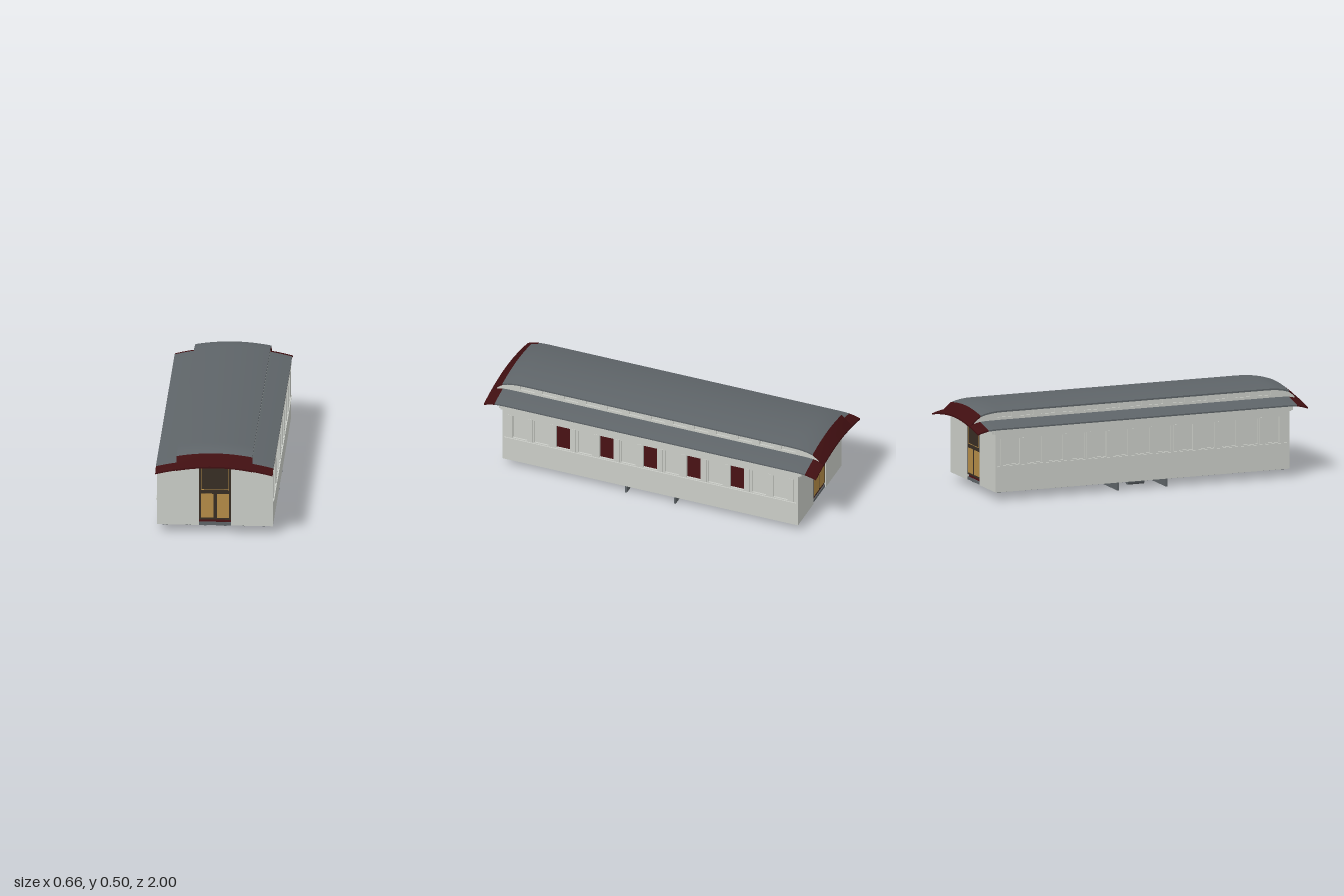
import * as THREE from 'three';
import { toCreasedNormals } from 'three/addons/utils/BufferGeometryUtils.js';

const mat = (name, color) => {
  const m = new THREE.MeshStandardMaterial({ color });
  m.name = name;
  return m;
};

export function createModel() {
  const body = mat('bodyGrey', 0xcbcec8);
  const slate = mat('slateGrey', 0x5e6468);
  const red = mat('darkRed', 0x400f11);
  const brown = mat('darkBrown', 0x382e24);
  const gold = mat('goldWood', 0xb58c47);

  const car = new THREE.Group();
  car.name = 'railwayCoach';

  const add = (name, geo, material, parent = car) => {
    const mesh = new THREE.Mesh(geo, material);
    mesh.name = name;
    parent.add(mesh);
    return mesh;
  };
  const box = (name, w, h, d, x, y, z, material, parent = car) => {
    const mesh = add(name, new THREE.BoxGeometry(w, h, d), material, parent);
    mesh.position.set(x, y, z);
    return mesh;
  };
  const poly = pts => pts.map(p => new THREE.Vector2(...p));
  const rectPath = (cx, w, y0, y1) => new THREE.Path(poly([
    [cx - w / 2, y0], [cx - w / 2, y1], [cx + w / 2, y1], [cx + w / 2, y0]]));
  const extrude = (shape, depth) =>
    new THREE.ExtrudeGeometry(shape, { depth, bevelEnabled: false });

  // Piecewise interpolation of the roof's drop towards its ends
  const dropAt = (table, z) => {
    const a = Math.abs(z);
    for (let i = 1; i < table.length; i++) {
      const [z0, d0] = table[i - 1], [z1, d1] = table[i];
      if (a <= z1) return d0 + (d1 - d0) * Math.max(0, (a - z0) / (z1 - z0));
    }
    return table.at(-1)[1];
  };
  const upperDrop = [[0.8, 0], [0.84, 0.001], [0.87, 0.004], [0.905, 0.010],
    [0.935, 0.019], [0.955, 0.034], [0.975, 0.052], [1, 0.075]];
  const lowerDrop = [[0.88, 0], [0.91, 0.001], [0.935, 0.003], [0.955, 0.007], [0.975, 0.012], [1, 0.02]];
  const upperY = (x, z) => 0.505 - 0.445 * x * x - dropAt(upperDrop, z);
  const lowerY = (x, z) => 0.449 - 0.394 * x * x - dropAt(lowerDrop, z);

  // Curved slab lofted through z stations
  const roofSlab = (half, thick, yAt, stations) => {
    const n = 17, pos = [], idx = [];
    const xs = Array.from({ length: n }, (_, i) => -half + 2 * half * i / (n - 1));
    for (const z of stations) {
      xs.forEach(x => pos.push(x, yAt(x, z), z));
      [...xs].reverse().forEach(x => pos.push(x, yAt(x, z) - thick, z));
    }
    const r = 2 * n, last = (stations.length - 1) * r;
    for (let i = 0; i < stations.length - 1; i++) {
      for (let j = 0; j < r; j++) {
        const a = i * r + j, b = i * r + (j + 1) % r, c = a + r, d = b + r;
        idx.push(a, c, b, b, c, d);
      }
    }
    for (let k = 0; k < n - 1; k++) {
      const t = k, u = k + 1, bt = r - 1 - k, bu = r - 2 - k;
      idx.push(t, u, bt, u, bu, bt);
      idx.push(last + t, last + bt, last + u, last + u, last + bt, last + bu);
    }
    const g = new THREE.BufferGeometry();
    g.setAttribute('position', new THREE.Float32BufferAttribute(pos, 3));
    g.setIndex(idx);
    return toCreasedNormals(g, 0.6);
  };

  const mid = [-0.935, -0.905, -0.87, -0.84, -0.8, 0, 0.8, 0.84, 0.87, 0.905, 0.935];
  const hood = [0.935, 0.955, 0.975, 1];
  for (const [name, half, thick, fn] of [['upperRoof', 0.212, 0.009, upperY], ['lowerRoof', 0.328, 0.008, lowerY]]) {
    add(name, roofSlab(half, thick, fn, mid), slate);
    add(name + 'FrontHood', roofSlab(half, thick, fn, hood), red);
    add(name + 'BackHood', roofSlab(half, thick, fn, hood.map(z => -z).reverse()), red);
  }

  const windowZ = Array.from({ length: 13 }, (_, i) => (6 - i) * 0.131);

  for (const s of [1, -1]) {
    const side = new THREE.Group();
    side.name = s > 0 ? 'leftSide' : 'rightSide';
    car.add(side);

    // Main side wall with window openings
    const wall = new THREE.Shape(poly([[-0.89, 0.045], [0.89, 0.045], [0.89, 0.4], [-0.89, 0.4]]));
    windowZ.forEach(z => wall.holes.push(rectPath(z, 0.085, 0.2, 0.345)));
    const wallMesh = add('sideWall', extrude(wall, 0.012).rotateY(Math.PI / 2), body, side);
    wallMesh.position.x = s > 0 ? 0.311 : -0.323;

    // Blinds close every window but five on the left side
    windowZ.forEach((z, i) => {
      const open = s > 0 && i >= 2 && i <= 10 && i % 2 === 0;
      if (!open) box('windowBlind', 0.004, 0.149, 0.089, s * 0.312, 0.2725, z, body, side);
    });
    for (let i = 0; i < 14; i++)
      box('windowPost', 0.004, 0.15, 0.022, s * 0.3235, 0.2725, (6.5 - i) * 0.131, body, side);
    box('beltRail', 0.009, 0.007, 1.76, s * 0.325, 0.191, 0, body, side);
    box('cornice', 0.006, 0.026, 1.8, s * 0.324, 0.387, 0, body, side);

    // Clerestory wall following the roof's falling ends
    const ends = [0.97, 0.955, 0.935, 0.905, 0.87, 0.8];
    const top = z => upperY(0.205, z) - 0.006;
    const upper = new THREE.Shape(poly([[-0.97, 0.418], [0.97, 0.418],
      ...ends.map(z => [z, top(z)]), ...[...ends].reverse().map(z => [-z, top(z)])]));
    windowZ.forEach(z => upper.holes.push(rectPath(z, 0.085, 0.447, 0.473)));
    const upperMesh = add('clerestoryWall', extrude(upper, 0.01).rotateY(Math.PI / 2), body, side);
    upperMesh.position.x = s > 0 ? 0.196 : -0.206;
    box('clerestoryPanes', 0.003, 0.034, 1.7, s * 0.197, 0.459, 0, body, side);
  }

  // End walls and double doors
  const arc = (off, n = 16) => Array.from({ length: n + 1 }, (_, i) => {
    const x = 0.322 - 0.644 * i / n;
    return [x, lowerY(x, 0) - off];
  });
  for (const s of [1, -1]) {
    const end = new THREE.Group();
    end.name = s > 0 ? 'frontEnd' : 'backEnd';
    end.rotation.y = s > 0 ? 0 : Math.PI;
    car.add(end);

    const wall = new THREE.Shape(poly([[-0.322, 0.045], [-0.09, 0.045], [-0.09, 0.405],
      [0.09, 0.405], [0.09, 0.045], [0.322, 0.045], ...arc(0.006)]));
    add('endWall', extrude(wall, 0.012), body, end).position.z = 0.878;
    const cove = new THREE.Shape(poly([...arc(0.006), ...arc(0.031).reverse()]));
    add('endCove', extrude(cove, 0.022), body, end).position.z = 0.889;

    box('door', 0.18, 0.328, 0.008, 0, 0.241, 0.882, brown, end);
    for (const f of [1, -1]) {
      const z = 0.882 + f * 0.0045;
      for (const x of [-0.044, 0.044])
        box('doorPanel', 0.069, 0.141, 0.003, x, 0.159, z, gold, end);
      for (const x of [-0.077, 0.077])
        box('doorWindowTrim', 0.0025, 0.14, 0.003, x, 0.324, z, gold, end);
      for (const y of [0.254, 0.394])
        box('doorWindowTrim', 0.156, 0.0025, 0.003, 0, y, z, gold, end);
    }
  }

  // Floor
  box('floor', 0.625, 0.016, 1.77, 0, 0.054, 0, slate);
  box('floorCovering', 0.62, 0.001, 1.76, 0, 0.0625, 0, red);

  // Underframe
  const frame = new THREE.Group();
  frame.name = 'underframe';
  car.add(frame);
  for (const x of [-0.27, -0.16, -0.055, 0.055, 0.16, 0.27])
    box('longBeam', 0.014, 0.012, 1.74, x, 0.041, 0, slate, frame);
  const bolster = new THREE.Shape(poly([[-0.31, 0.046], [-0.31, 0.043], [-0.05, 0.025],
    [0.05, 0.025], [0.31, 0.043], [0.31, 0.046]]));
  for (const s of [1, -1]) {
    add('bolster', extrude(bolster, 0.055), slate, frame).position.z = s * 0.68 - 0.0275;
    box('crossBeam', 0.638, 0.046, 0.01, 0, 0.023, s * 0.147, slate, frame);
    box('endBeam', 0.6, 0.01, 0.016, 0, 0.042, s * 0.86, slate, frame);
    const tank = add('brakeCylinder', new THREE.CylinderGeometry(0.02, 0.02, 0.1, 20).rotateX(Math.PI / 2), slate, frame);
    tank.position.set(s * 0.215, 0.026, 0);
  }
  return car;
}
